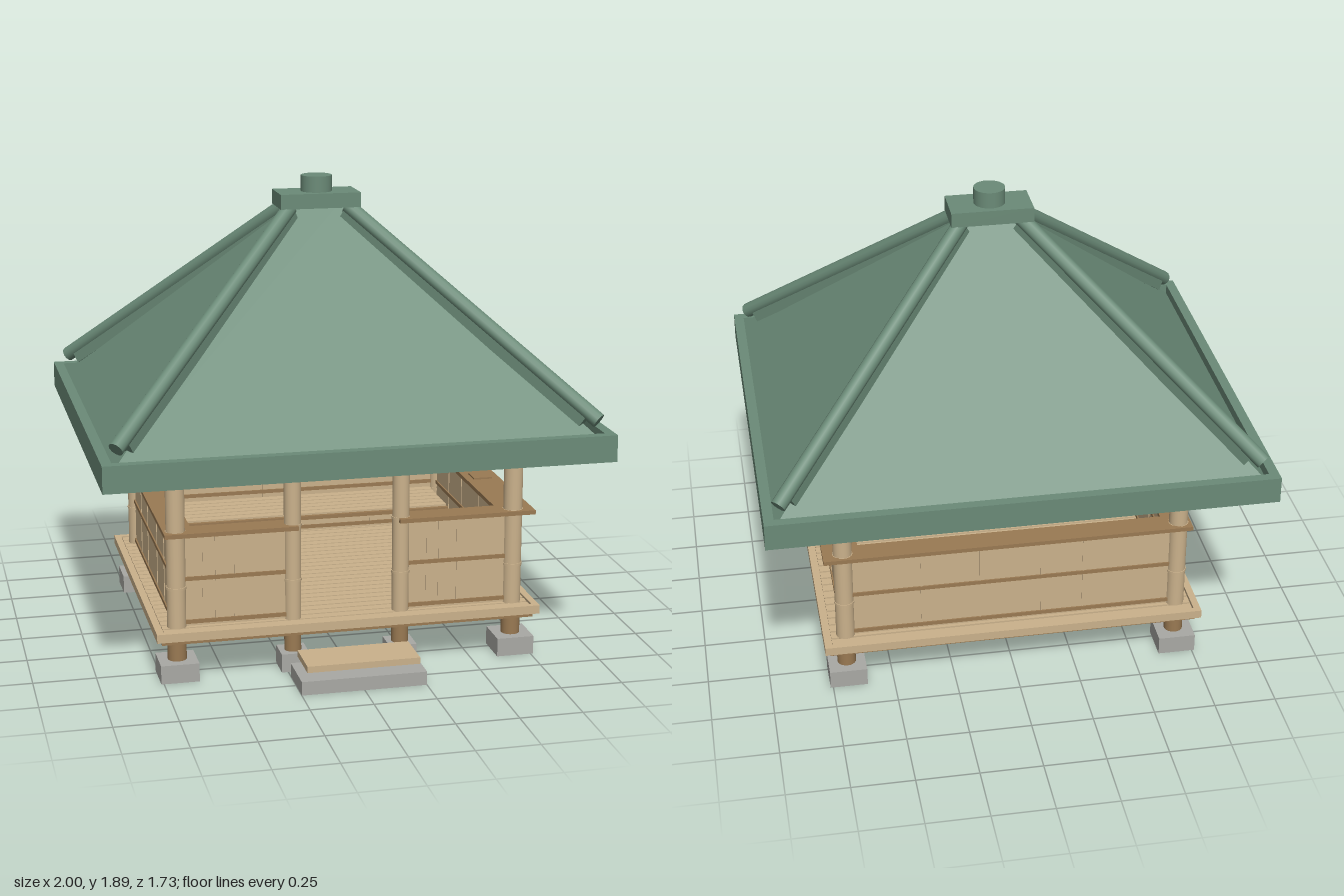
import * as THREE from 'three';

const mat = (name, color) => {
  const m = new THREE.MeshStandardMaterial({ color });
  m.name = name;
  return m;
};

export function createModel() {
  const green = mat('roof green', 0x6b8b78);
  const tan = mat('bamboo tan', 0xcbb28c);
  const brown = mat('timber brown', 0x9a7a53);
  const grey = mat('stone grey', 0xa9a9a5);
  const model = new THREE.Group();
  model.name = 'pavilion';

  const add = (name, geo, m, parent = model) => {
    const mesh = new THREE.Mesh(geo, m);
    mesh.name = name;
    parent.add(mesh);
    return mesh;
  };
  // box given by its limits on each axis
  const box = (name, m, x0, x1, y0, y1, z0, z1) =>
    add(name, new THREE.BoxGeometry(x1 - x0, y1 - y0, z1 - z0), m)
      .position.set((x0 + x1) / 2, (y0 + y1) / 2, (z0 + z1) / 2);
  const cyl = (name, m, r, y0, y1, x, z, sides = 20) =>
    add(name, new THREE.CylinderGeometry(r, r, y1 - y0, sides), m).position.set(x, (y0 + y1) / 2, z);

  // roof: hipped shell with a short ridge and a flat ceiling
  const [bx, bz, by, rx, ry] = [0.958, 0.825, 0.93, 0.1, 1.775];
  const A = [-bx, by, bz], B = [bx, by, bz], C = [bx, by, -bz], D = [-bx, by, -bz];
  const L = [-rx, ry, 0], R = [rx, ry, 0];
  const faces = [A, B, R, A, R, L, B, C, R, C, D, L, C, L, R, D, A, L, A, D, C, A, C, B];
  const roofGeo = new THREE.BufferGeometry();
  roofGeo.setAttribute('position', new THREE.Float32BufferAttribute(faces.flat(), 3));
  roofGeo.computeVertexNormals();
  add('roof', roofGeo, green);

  // eave frame
  for (const s of [-1, 1]) {
    box('eaveLong', green, -1, 1, 0.86, 0.967, s > 0 ? 0.825 : -0.865, s > 0 ? 0.865 : -0.825);
    box('eaveShort', green, s > 0 ? 0.96 : -1, s > 0 ? 1 : -0.96, 0.86, 0.967, -0.825, 0.825);
  }

  // hip poles, each lying on a narrow batten
  for (const sx of [-1, 1]) for (const sz of [-1, 1]) {
    const low = new THREE.Vector3(0.94 * sx, 1.013, 0.808 * sz);
    const high = new THREE.Vector3(0.12 * sx, 1.765, 0.045 * sz);
    const hip = new THREE.Group();
    hip.name = 'hip';
    hip.position.copy(low).lerp(high, 0.5);
    hip.lookAt(high);
    const len = low.distanceTo(high);
    add('hipPole', new THREE.CylinderGeometry(0.031, 0.031, len, 12).rotateX(Math.PI / 2), green, hip);
    add('hipBatten', new THREE.BoxGeometry(0.05, 0.05, len - 0.05), green, hip).position.set(0, -0.035, 0.02);
    model.add(hip);
  }

  // ridge cap and finial
  box('ridgeCap', green, -0.165, 0.165, 1.765, 1.825, -0.087, 0.087);
  cyl('finial', green, 0.063, 1.82, 1.89, 0, 0, 28);

  // posts on foundation stones, with bamboo nodes
  const posts = [[-0.685, 0.548], [0.685, 0.548], [-0.685, -0.548], [0.685, -0.548], [-0.22, 0.548], [0.22, 0.548]];
  posts.forEach(([x, z], i) => {
    const r = i < 4 ? 0.038 : 0.034, s = i < 4 ? 0.076 : 0.056;
    box('foundationStone', grey, x - s, x + s, 0, 0.075, z - s, z + s);
    cyl('postFoot', brown, r, 0.075, 0.17, x, z);
    cyl('post', tan, r, 0.17, 0.93, x, z);
    for (const y of [0.37, 0.595, 0.855]) cyl('postNode', tan, r + 0.003, y - 0.005, y + 0.005, x, z);
  });

  // floor: base, slats running sideways, edge boards and beams below
  box('floorBase', tan, -0.765, 0.765, 0.178, 0.198, -0.635, 0.635);
  for (let i = 0; i < 26; i++) {
    const z = -0.6 + i * 0.048;
    box('floorSlat', tan, -0.745, 0.745, 0.198, 0.208, z - 0.019, z + 0.019);
  }
  for (const s of [-1, 1]) {
    const z = 0.633 * s, x = 0.763 * s;
    box('floorEdge', tan, -0.777, 0.777, 0.178, 0.213, z - 0.012, z + 0.012);
    box('floorEdge', tan, x - 0.014, x + 0.014, 0.178, 0.213, -0.621, 0.621);
    box('floorBeam', brown, -0.755, 0.755, 0.16, 0.178, 0.6 * s - 0.025, 0.6 * s + 0.025);
    box('floorBeam', brown, 0.725 * s - 0.025, 0.725 * s + 0.025, 0.16, 0.178, -0.575, 0.575);
  }
  box('middleBeam', brown, -0.7, 0.7, 0.16, 0.178, -0.025, 0.025);

  // low walls: panel, two horizontal bands and thin battens
  const wall = (cx, cz, length, turn, battens) => {
    const g = new THREE.Group();
    g.name = 'wall';
    g.position.set(cx, 0, cz);
    g.rotation.y = turn;
    add('wallPanel', new THREE.BoxGeometry(length, 0.375, 0.022), tan, g).position.y = 0.3975;
    for (const y of [0.228, 0.405])
      add('wallBand', new THREE.BoxGeometry(length, 0.016, 0.034), brown, g).position.y = y;
    for (const t of battens)
      add('wallBatten', new THREE.BoxGeometry(0.007, 0.37, 0.028), tan, g).position.set((t - 0.5) * length, 0.4, 0);
    model.add(g);
  };
  wall(0, -0.548, 1.33, Math.PI, [0.22, 0.4, 0.59, 0.72]);
  wall(0.685, 0, 1.06, Math.PI / 2, [0.2, 0.38, 0.62, 0.8]);
  wall(-0.685, 0, 1.06, -Math.PI / 2, [0.2, 0.38, 0.62, 0.8]);
  wall(-0.4525, 0.548, 0.42, 0, [0.2, 0.32, 0.5]);
  wall(0.4525, 0.548, 0.42, 0, [0.2, 0.32, 0.5]);

  // counter rails on the walls
  box('backRail', brown, -0.735, 0.765, 0.583, 0.6, -0.6, -0.5);
  box('rightRail', brown, -0.735, -0.62, 0.583, 0.6, -0.5, 0.5);
  box('leftRail', brown, 0.62, 0.765, 0.583, 0.6, -0.5, 0.5);
  box('frontRail', brown, -0.735, -0.205, 0.583, 0.6, 0.5, 0.6);
  box('frontRail', brown, 0.205, 0.765, 0.583, 0.6, 0.5, 0.6);

  // slatted bench along the back
  for (let i = 0; i < 6; i++)
    box('benchSlat', tan, -0.64, 0.64, 0.37, 0.383, -0.52 + i * 0.048, -0.482 + i * 0.048);
  box('benchFrontRail', brown, -0.64, 0.64, 0.362, 0.378, -0.232, -0.215);
  for (const x of [-0.6, 0.6]) box('benchLeg', brown, x - 0.02, x + 0.02, 0.2, 0.37, -0.28, -0.24);

  // tray and cup on the side counter
  box('tray', brown, 0.65, 0.73, 0.6, 0.607, 0.05, 0.13);
  cyl('cup', grey, 0.015, 0.6, 0.625, 0.69, -0.045);

  // entrance step
  box('stepStone', grey, -0.25, 0.25, 0, 0.055, 0.65, 0.855);
  box('stepBoard', tan, -0.225, 0.225, 0.085, 0.111, 0.66, 0.842);

  return model;
}
